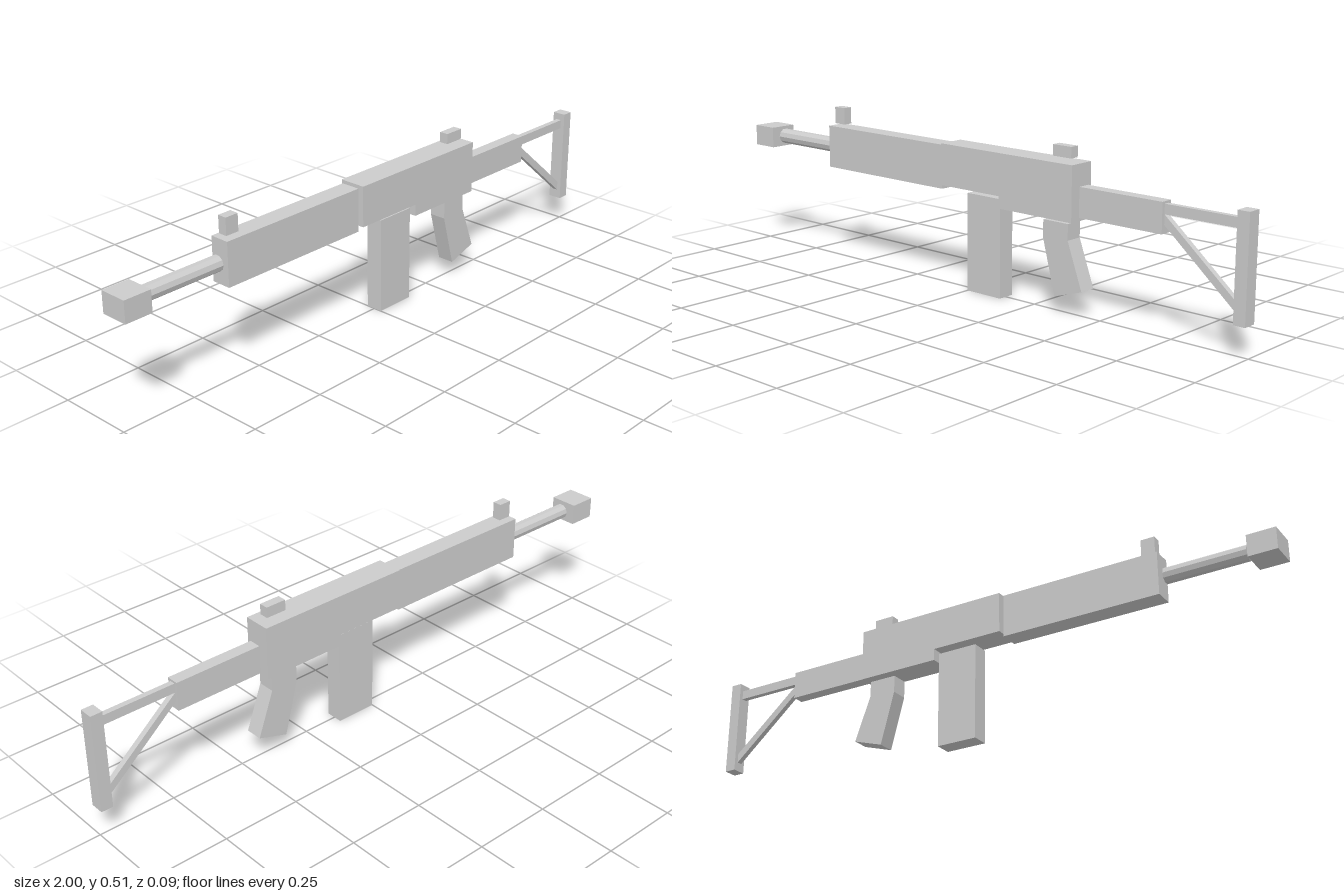
import * as THREE from 'three';

export function createModel() {
  const group = new THREE.Group();
  const material = new THREE.MeshStandardMaterial({ color: 0xcccccc, flatShading: true });

  const add = (name, geometry) => {
    const mesh = new THREE.Mesh(geometry, material);
    mesh.name = name;
    group.add(mesh);
    return mesh;
  };

  // Box given by its x range, y range and half depth
  const block = (name, x0, x1, y0, y1, halfZ) =>
    add(name, new THREE.BoxGeometry(x1 - x0, y1 - y0, halfZ * 2))
      .position.set((x0 + x1) / 2, (y0 + y1) / 2, 0);

  // Side outline extruded evenly about z = 0
  const plate = (name, points, halfZ) => {
    const shape = new THREE.Shape(points.map(([x, y]) => new THREE.Vector2(x, y)));
    const geometry = new THREE.ExtrudeGeometry(shape, { depth: halfZ * 2, bevelEnabled: false });
    add(name, geometry.translate(0, 0, -halfZ));
  };

  // Barrel end
  block('muzzle', -1, -0.91, 0.343, 0.412, 0.046);
  add('barrel', new THREE.CylinderGeometry(0.025, 0.025, 0.26, 10).rotateZ(Math.PI / 2))
    .position.set(-0.77, 0.38, 0);
  block('handguard', -0.63, -0.105, 0.31, 0.45, 0.032);

  // Body with a stepped underside
  plate('receiver', [
    [-0.097, 0.325], [0.143, 0.325], [0.143, 0.287],
    [0.423, 0.287], [0.423, 0.457], [-0.097, 0.457],
  ], 0.044);

  // Sights
  block('frontSight', -0.617, -0.572, 0.458, 0.513, 0.015);
  block('rearSight', 0.328, 0.396, 0.469, 0.503, 0.015);

  // Magazine and bent grip
  block('magazine', 0, 0.135, 0, 0.312, 0.028);
  plate('grip', [
    [0.305, 0.278], [0.305, 0.222], [0.351, 0.051],
    [0.452, 0.083], [0.398, 0.228], [0.398, 0.278],
  ], 0.028);

  // Skeleton stock
  block('stockBlock', 0.432, 0.722, 0.3, 0.392, 0.02);
  block('upperStrut', 0.722, 0.964, 0.355, 0.385, 0.009);
  plate('lowerStrut', [[0.722, 0.325], [0.964, 0.12], [0.964, 0.151], [0.722, 0.355]], 0.009);
  block('buttPlate', 0.962, 1, 0.092, 0.408, 0.0225);

  return group;
}
